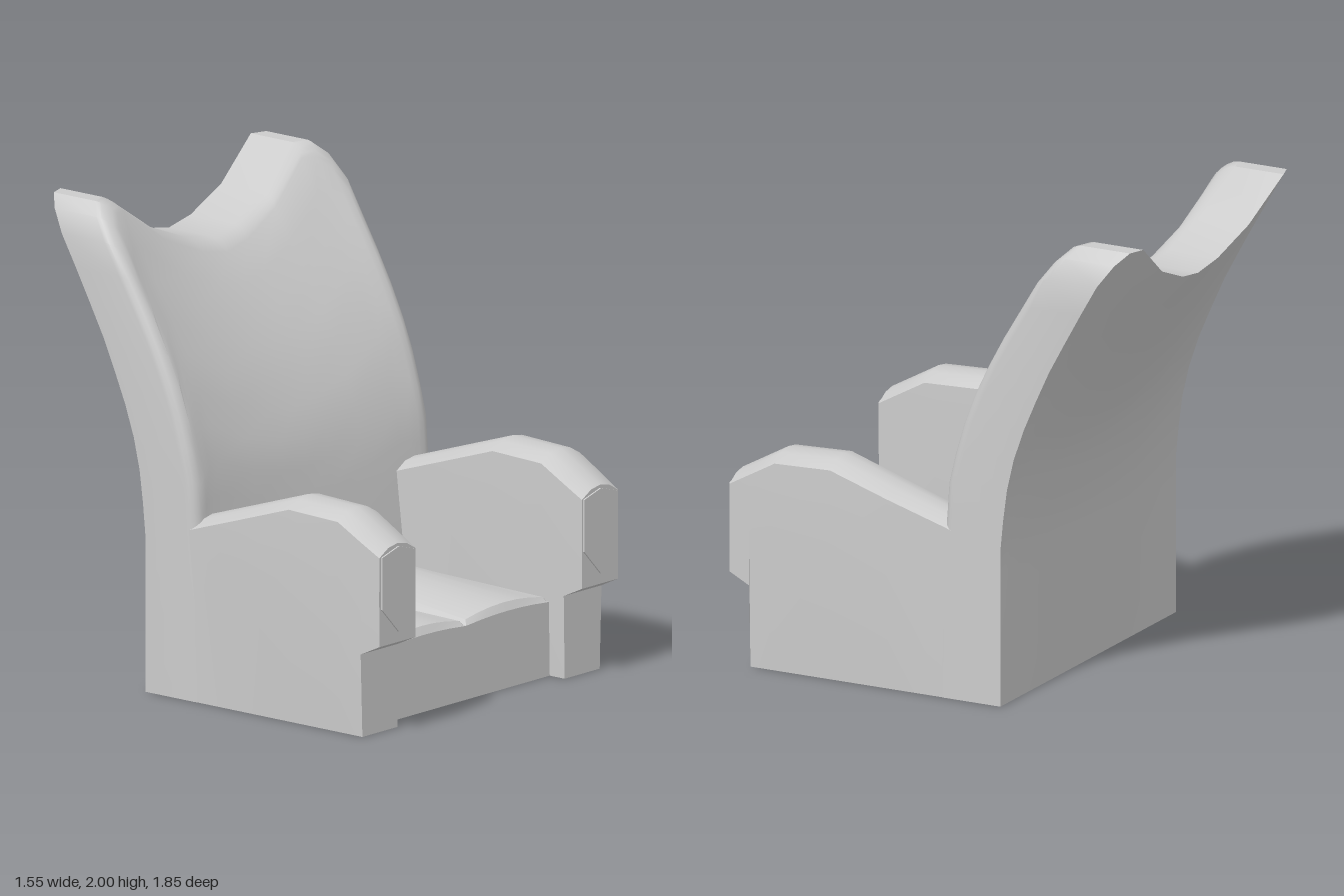
import * as THREE from 'three';
import { toCreasedNormals } from 'three/addons/utils/BufferGeometryUtils.js';

const material = new THREE.MeshStandardMaterial({ color: 0xcccccc });

// Piecewise linear lookup in [[key, value], ...]
function along(table, k) {
  let i = 0;
  while (i < table.length - 2 && k > table[i + 1][0]) i++;
  const [k0, v0] = table[i], [k1, v1] = table[i + 1];
  return v0 + (v1 - v0) * (k - k0) / (k1 - k0);
}

// Quads between successive rows of points
function sheet(rows, closed = false) {
  const out = [];
  for (let r = 0; r < rows.length - 1; r++) {
    const p = rows[r], q = rows[r + 1], n = p.length;
    for (let i = 0; i < (closed ? n : n - 1); i++) {
      const j = (i + 1) % n;
      out.push(p[i], p[j], q[j], p[i], q[j], q[i]);
    }
  }
  return out;
}

// Fan that closes a ring
function cap(ring) {
  const c = [0, 1, 2].map(k => ring.reduce((s, p) => s + p[k], 0) / ring.length);
  return ring.flatMap((p, i) => [c, p, ring[(i + 1) % ring.length]]);
}

// Closed solid from rings ordered rear to front, each counterclockwise from +z
function loft(rings) {
  return [...sheet(rings, true), ...cap([...rings[0]].reverse()), ...cap(rings[rings.length - 1])];
}

function makeMesh(name, points, crease = 0.6) {
  const geometry = new THREE.BufferGeometry();
  geometry.setAttribute('position', new THREE.Float32BufferAttribute(points.flat(), 3));
  const mesh = new THREE.Mesh(toCreasedNormals(geometry, crease), material);
  mesh.name = name;
  return mesh;
}

// Reclined, dished backrest with a scooped top and a rounded front rim
function makeBackrest() {
  const half = [[0, 1.73], [0.15, 1.755], [0.37, 1.84], [0.6, 2], [0.67, 2], [0.72, 1.95], [0.75, 1.86]];
  const top = [...half.slice(1).reverse().map(([x, y]) => [-x, y]), ...half];
  const frontZ = [[0, -0.03], [0.4, -0.04], [0.73, -0.075], [0.95, -0.09], [1.25, -0.18],
    [1.5, -0.30], [1.75, -0.45], [2, -0.60]];
  const backZ = [[0, -0.345], [0.7, -0.345], [1, -0.385], [1.23, -0.465], [1.48, -0.58], [1.75, -0.73], [2, -0.875]];
  const dish = [[0, 0], [0.7, 0.02], [1, 0.045], [1.2, 0.07], [1.43, 0.10], [1.74, 0.14], [2, 0.15]];
  const steps = 14, last = top.length - 1;
  const point = (i, j, inset, table, dz) => {
    const x = top[i][0] * (1 - inset / 0.75), y = (top[i][1] - inset) * j / steps;
    const bow = 1 - (top[i][0] / 0.75) ** 2;
    return [x, y, along(table, y) - bow * along(dish, y) + dz];
  };
  const grid = (...layer) => Array.from({ length: steps + 1 },
    (_, j) => top.map((_, i) => point(i, j, ...layer)));
  const rim = g => [
    ...g[0], ...g.slice(1).map(row => row[last]),
    ...[...g[steps]].reverse().slice(1), ...g.slice(1, steps).reverse().map(row => row[0]),
  ];
  const back = grid(0, backZ, 0);
  const layers = [back];
  for (let k = 0; k <= 4; k++) {
    const t = k / 4 * Math.PI / 2;
    layers.push(grid(0.05 * (1 - Math.cos(t)), frontZ, -0.05 * (1 - Math.sin(t))));
  }
  return makeMesh('backrest', [
    ...sheet(layers.map(rim), true),
    ...sheet(layers[layers.length - 1]),
    ...sheet(back.map(row => [...row].reverse())),
  ]);
}

// Arm with bowed sides, crowned top and a stepped front underside
function makeArm(side) {
  // z, underside height, height where the crown starts
  const stations = [[-0.2, 0, 0.69], [-0.08, 0, 0.73], [0.18, 0, 0.815], [0.44, 0, 0.90], [0.70, 0, 0.89],
    [0.82, 0, 0.823], [0.82, 0.35, 0.823], [0.915, 0.395, 0.77]];
  const rings = stations.map(([z, low, edge]) => {
    const bow = y => Math.max(0, 1 - ((z - 0.45) / 0.52) ** 2) * Math.max(0, 1 - ((y - 0.58) / 0.58) ** 2);
    const inner = y => 0.527 - 0.014 * bow(y), outer = y => 0.748 + 0.027 * bow(y);
    const mid = Math.min(0.6, edge);
    const ring = [[inner(low), low], [outer(low), low], [outer(mid), mid], [outer(edge), edge]];
    for (const t of [0.25, 0.5, 0.75]) {
      const x = outer(edge) + (inner(edge) - outer(edge)) * t;
      ring.push([x, edge + (t === 0.5 ? 0.043 : 0.033)]);
    }
    ring.push([inner(edge), edge], [inner(mid), mid]);
    const points = ring.map(([x, y]) => [side * x, y, z]);
    return side > 0 ? points : points.reverse();
  });
  return makeMesh(side > 0 ? 'leftArm' : 'rightArm', loft(rings));
}

// Thin pointed panel on the front of an arm
function makeArmPanel(side) {
  const shape = new THREE.Shape([[-0.105, 0.77], [-0.105, 0.55], [0, 0.44], [0.105, 0.55], [0.105, 0.77], [0, 0.80]]
    .map(([x, y]) => new THREE.Vector2(x, y)));
  const mesh = new THREE.Mesh(new THREE.ExtrudeGeometry(shape, { depth: 0.02, bevelEnabled: false }), material);
  mesh.position.set(side * 0.637, 0, 0.902);
  mesh.name = side > 0 ? 'leftArmPanel' : 'rightArmPanel';
  return mesh;
}

// Domed cushion, sloping down to a bevelled front edge
function makeCushion(side) {
  // z, edge height, crown height, seam height
  const stations = [[-0.15, 0.35, 0.415, 0.315], [-0.04, 0.347, 0.41, 0.315],
    [0.72, 0.332, 0.358, 0.315], [0.74, 0.313, 0.325, 0.312]];
  const rings = stations.map(([z, edge, crown, seam]) => {
    const ring = [[0, 0.25], [0.525, 0.25], [0.525, seam]];
    for (let k = 6; k >= 0; k--) {
      const t = k / 6;
      ring.push([0.018 + 0.489 * t, edge + (crown - edge) * (1 - (2 * t - 1) ** 2)]);
    }
    ring.push([0, seam]);
    const points = ring.map(([x, y]) => [side * x, y, z]);
    return side > 0 ? points : points.reverse();
  });
  return makeMesh(side > 0 ? 'leftCushion' : 'rightCushion', loft(rings), 0.5);
}

export function createModel() {
  const chair = new THREE.Group();
  chair.name = 'armchair';

  // Seat base between the arms
  const base = new THREE.Mesh(new THREE.BoxGeometry(1.08, 0.31, 0.89), material);
  base.position.set(0, 0.155, 0.295);
  base.name = 'seatBase';

  chair.add(makeBackrest(), base);
  for (const side of [1, -1]) chair.add(makeArm(side), makeArmPanel(side), makeCushion(side));
  return chair;
}
